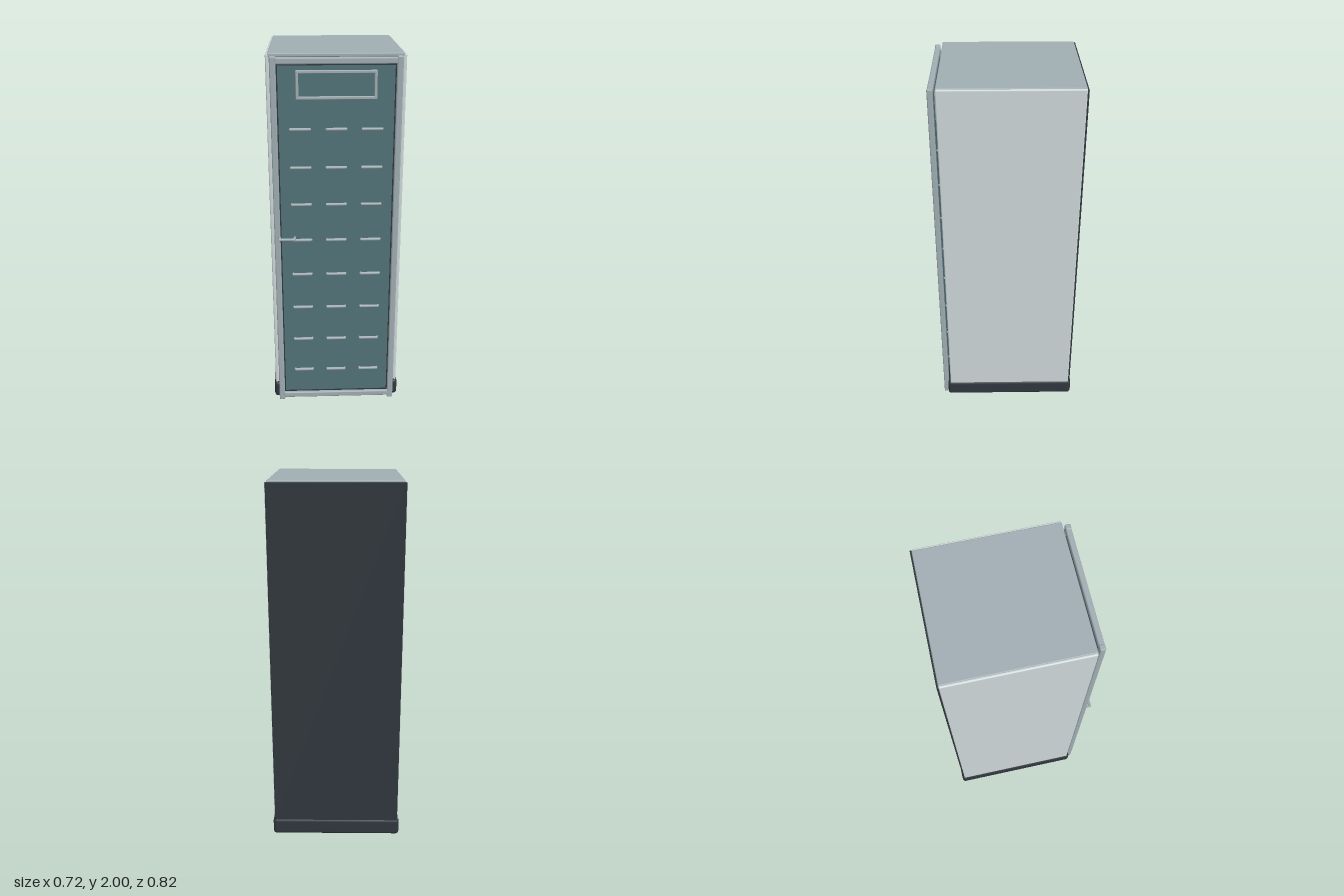
import * as THREE from 'three';
import { RoundedBoxGeometry } from 'three/addons/geometries/RoundedBoxGeometry.js';

const material = (name, color) => {
  const m = new THREE.MeshStandardMaterial({ color });
  m.name = name;
  return m;
};

export function createModel() {
  const steel = material('grey steel', 0xa0adb2);
  const pale = material('pale side panel', 0xced7d8);
  const teal = material('teal front', 0x527379);
  const dark = material('charcoal', 0x30373d);
  const model = new THREE.Group();
  model.name = 'cabinet';

  // Box given by its limits; r rounds the edges
  function box(parent, name, mat, [x0, x1], [y0, y1], [z0, z1], r = 0) {
    const size = [x1 - x0, y1 - y0, z1 - z0];
    const geo = r ? new RoundedBoxGeometry(...size, 4, r) : new THREE.BoxGeometry(...size);
    const mesh = new THREE.Mesh(geo, mat);
    mesh.name = name;
    mesh.position.set((x0 + x1) / 2, (y0 + y1) / 2, (z0 + z1) / 2);
    parent.add(mesh);
  }

  // Pull handle: two round standoffs and a round grip
  const standoffGeo = new THREE.CylinderGeometry(0.006, 0.006, 0.03, 16).rotateX(Math.PI / 2);
  function handle(name, x, y, z, half) {
    const g = new THREE.Group();
    g.name = name;
    g.position.set(x, y, z);
    for (const s of [-1, 1]) {
      const standoff = new THREE.Mesh(standoffGeo, steel);
      standoff.name = 'standoff';
      standoff.position.set(s * half, 0, 0.015);
      g.add(standoff);
    }
    const gripGeo = new THREE.CylinderGeometry(0.008, 0.008, half * 2 + 0.004, 20).rotateZ(Math.PI / 2);
    const grip = new THREE.Mesh(gripGeo, steel);
    grip.name = 'grip';
    grip.position.z = 0.034;
    g.add(grip);
    model.add(g);
  }

  // Cabinet body
  box(model, 'base', dark, [-0.36, 0.36], [0.005, 0.1], [-0.411, 0.341], 0.018);
  box(model, 'core', dark, [-0.335, 0.335], [0.09, 1.98], [-0.395, 0.315]);
  box(model, 'backPanel', dark, [-0.35, 0.35], [0.09, 1.992], [-0.405, -0.393], 0.004);
  box(model, 'topPanel', steel, [-0.343, 0.343], [1.98, 2], [-0.397, 0.326], 0.006);
  for (const s of [-1, 1]) {
    const xs = s > 0 ? [0.332, 0.353] : [-0.353, -0.332];
    box(model, 'sidePanel', pale, xs, [0.09, 1.995], [-0.397, 0.326], 0.007);
  }

  // Door: rounded frame, dark seal and teal panel
  const door = new THREE.Group();
  door.name = 'door';
  model.add(door);
  box(door, 'doorPanel', teal, [-0.301, 0.301], [0.045, 1.951], [0.341, 0.347]);
  for (const s of [-1, 1]) {
    const post = s > 0 ? [0.3, 0.332] : [-0.332, -0.3];
    const seal = s > 0 ? [0.294, 0.301] : [-0.301, -0.294];
    box(door, 'doorPost', steel, post, [0, 1.99], [0.338, 0.367], 0.007);
    box(door, 'doorSeal', dark, seal, [0.046, 1.95], [0.342, 0.35]);
  }
  for (const y of [0.014, 1.951]) {
    box(door, 'doorRail', steel, [-0.305, 0.305], [y, y + 0.033], [0.338, 0.367], 0.007);
  }
  for (const y of [0.046, 1.944]) {
    box(door, 'doorSeal', dark, [-0.3, 0.3], [y, y + 0.007], [0.342, 0.35]);
  }

  // Label frame
  const label = new THREE.Group();
  label.name = 'labelFrame';
  model.add(label);
  for (const y of [1.776, 1.906]) {
    box(label, 'labelRail', steel, [-0.204, 0.204], [y, y + 0.014], [0.325, 0.364], 0.003);
  }
  for (const x of [-0.204, 0.19]) {
    box(label, 'labelStile', steel, [x, x + 0.014], [1.778, 1.918], [0.325, 0.364], 0.003);
  }

  // Handles: eight rows of three, and one on the door edge
  for (let row = 0; row < 8; row++) {
    for (const x of [-0.185, 0, 0.185]) {
      handle('drawerHandle', x, 0.2 + row * 0.2032, 0.323, 0.05);
    }
  }
  handle('doorHandle', -0.263, 1.035, 0.367, 0.04);

  return model;
}
